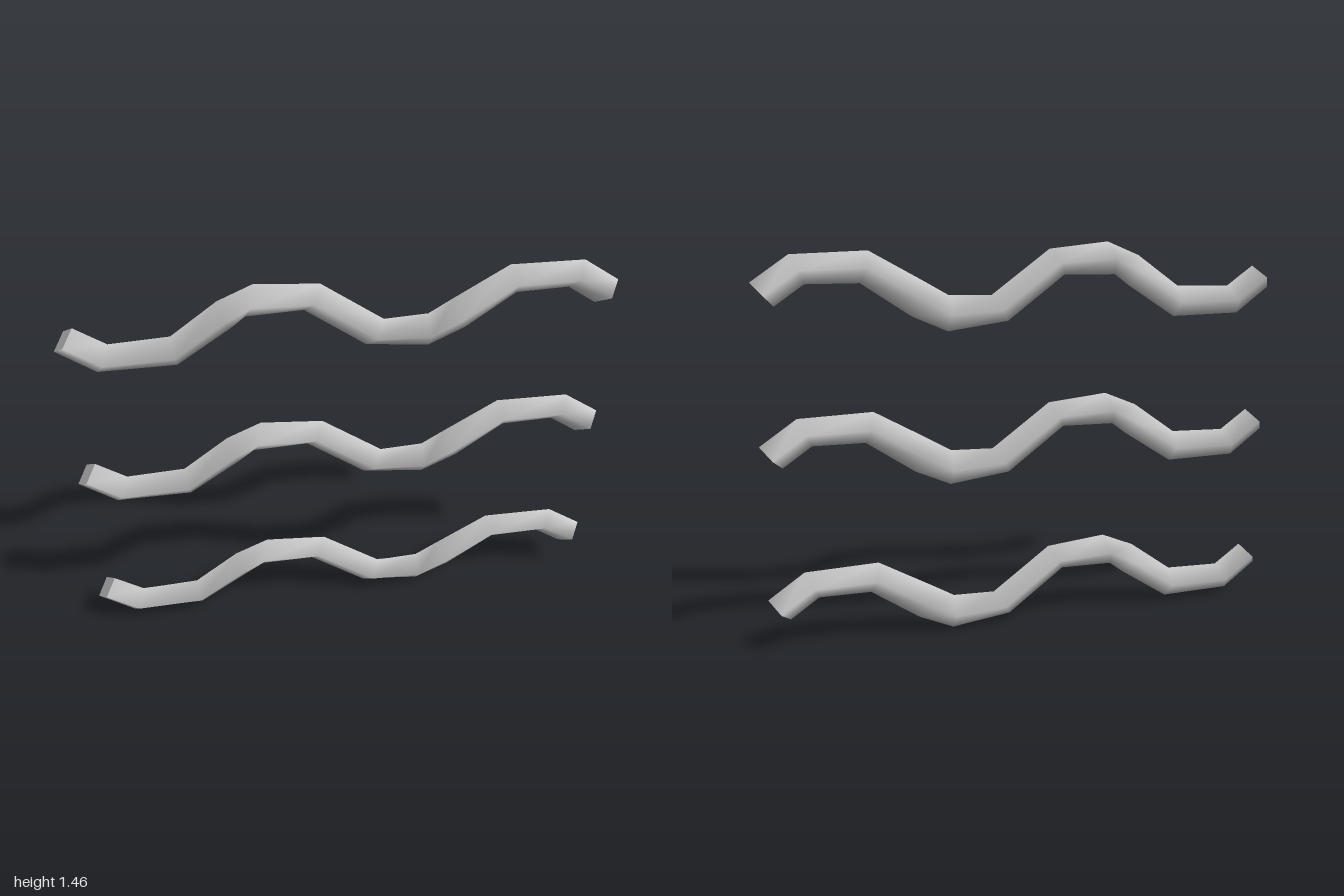
import * as THREE from 'three';

// Ridge and keel points of one wavy bar: [topX, topY, bottomX, bottomY]
const SECTIONS = [
  [-0.928, 0.2, -1.0, 0.115],
  [-0.82, 0.125, -0.868, 0.018],
  [-0.607, 0.133, -0.593, 0.016],
  [-0.44, 0.254, -0.4, 0.143],
  [-0.313, 0.308, -0.345, 0.185],
  [-0.083, 0.287, -0.142, 0.19],
  [0.142, 0.125, 0.078, 0.028],
  [0.302, 0.131, 0.307, 0.0],
  [0.39, 0.183, 0.44, 0.06],
  [0.59, 0.298, 0.622, 0.185],
  [0.864, 0.292, 0.815, 0.188],
  [1.0, 0.2, 0.922, 0.115],
];
const HALF_DEPTH = 0.058;
const SPACING = 0.577;

// Diamond cross-section: top, front, bottom, back
function diamond([tx, ty, bx, by]) {
  const mx = (tx + bx) / 2, my = (ty + by) / 2;
  return [tx, ty, 0, mx, my, HALF_DEPTH, bx, by, 0, mx, my, -HALF_DEPTH];
}

function makeGeometry(positions, index) {
  const g = new THREE.BufferGeometry();
  g.setAttribute('position', new THREE.Float32BufferAttribute(positions, 3));
  g.setIndex(index);
  g.computeVertexNormals();
  return g;
}

// Smooth skin through all sections
function makeSkin() {
  const index = [];
  for (let i = 0; i < SECTIONS.length - 1; i++) {
    for (let j = 0; j < 4; j++) {
      const a = i * 4 + j, c = i * 4 + (j + 1) % 4;
      index.push(a, c, a + 4, c, c + 4, a + 4);
    }
  }
  return makeGeometry(SECTIONS.flatMap(diamond), index);
}

export function createModel() {
  const group = new THREE.Group();
  group.name = 'wavyBars';
  const grey = new THREE.MeshStandardMaterial({ color: 0xcccccc });
  grey.name = 'lightGrey';

  const skin = makeSkin();
  const rightCap = makeGeometry(diamond(SECTIONS[0]), [0, 2, 1, 0, 3, 2]);
  const leftCap = makeGeometry(diamond(SECTIONS[SECTIONS.length - 1]), [0, 1, 2, 0, 2, 3]);

  // Three identical bars stacked upwards
  ['lowerBar', 'middleBar', 'upperBar'].forEach((name, i) => {
    const bar = new THREE.Group();
    bar.name = name;
    bar.position.y = i * SPACING;
    for (const [part, geometry] of [['barSkin', skin], ['rightEnd', rightCap], ['leftEnd', leftCap]]) {
      const mesh = new THREE.Mesh(geometry, grey);
      mesh.name = part;
      bar.add(mesh);
    }
    group.add(bar);
  });
  return group;
}
